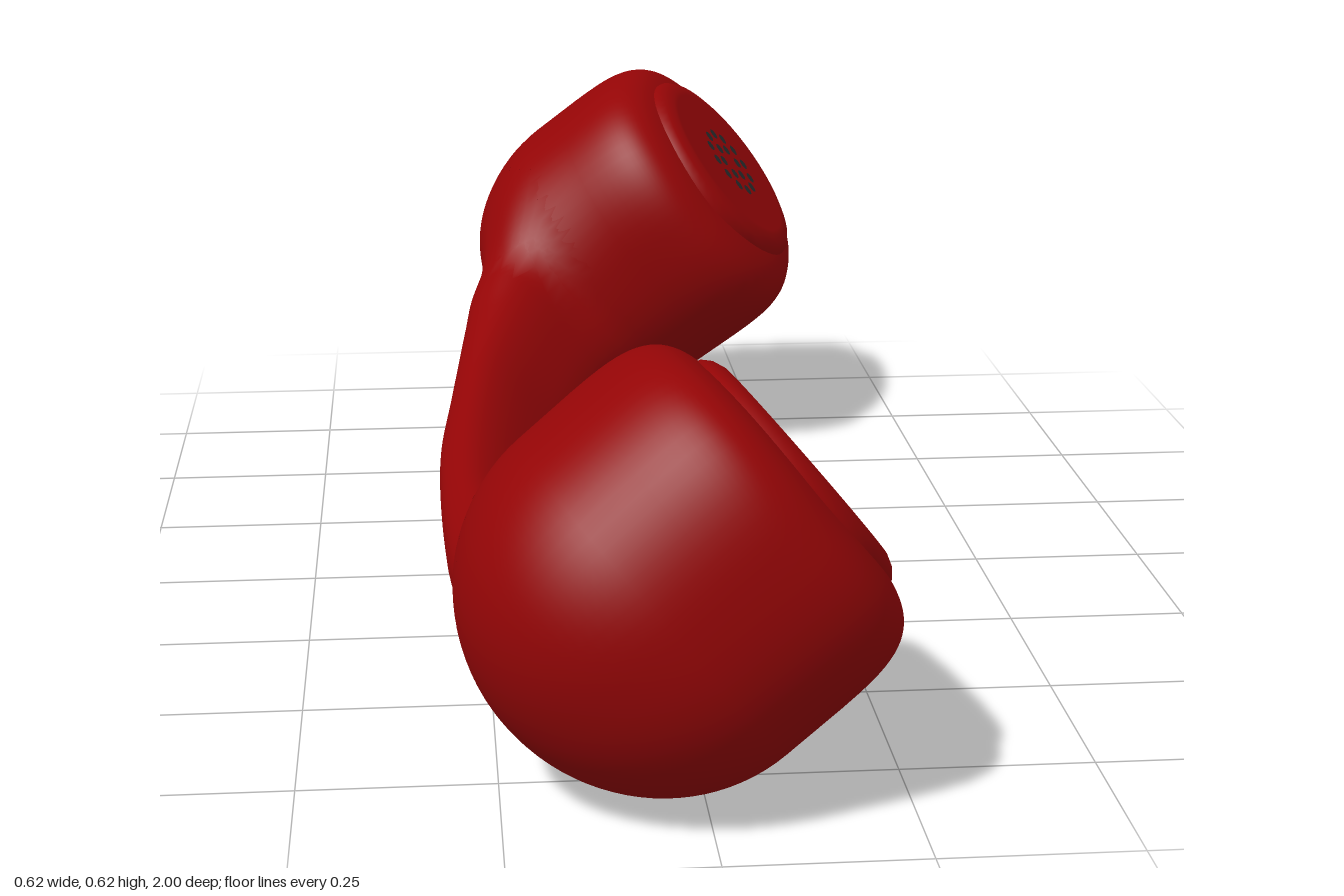
import * as THREE from 'three';
import { mergeVertices } from 'three/addons/utils/BufferGeometryUtils.js';

const red = new THREE.MeshStandardMaterial({ color: 0x940506 });
red.name = 'glossy red';
const dark = new THREE.MeshStandardMaterial({ color: 0x262a2b });
dark.name = 'dark hole grey';

// Cups: position of the cap face, inward tilt, radius and rings of holes [count, ring radius]
const CUPS = [
  { name: 'earpiece', at: [-0.233, 0.349, 0.725], tilt: -0.12, radius: 0.245, rings: [[1, 0], [6, 0.026]] },
  { name: 'mouthpiece', at: [-0.25, 0.451, -0.697], tilt: 0.24, radius: 0.24, rings: [[6, 0.03], [12, 0.058]] },
];
for (const cup of CUPS) {
  cup.matrix = new THREE.Matrix4().makeRotationX(cup.tilt).setPosition(...cup.at);
  cup.inverse = cup.matrix.clone().invert();
}
const CUP_MIDDLE = -0.2485, CUP_HALF = 0.2365;
const cupRoundness = y => (y > 0 ? 5.5 : 2);

// Radius of a slightly squared circle through (x, z), squarer towards the cap
function squaredRadius(x, z, y) {
  const e = 2.3 + 0.2 * THREE.MathUtils.clamp(y / CUP_HALF, -1, 1);
  return (Math.abs(x) ** e + Math.abs(z) ** e) ** (1 / e);
}

// Grip sections: [z, outer side, inner side, half width]
const GRIP = [
  [-0.78, 0.06, 0.2, 0.12], [-0.64, 0, 0.17, 0.145], [-0.54, -0.05, 0.115, 0.14],
  [-0.44, -0.077, 0.06, 0.126], [-0.32, -0.1, 0.013, 0.117], [-0.2, -0.119, -0.012, 0.115], [0, -0.146, -0.036, 0.118],
  [0.2, -0.154, -0.045, 0.118], [0.4, -0.155, -0.018, 0.121], [0.49, -0.15, 0.016, 0.128],
  [0.56, -0.138, 0.06, 0.138], [0.65, -0.1, 0.1, 0.14], [0.76, -0.04, 0.1, 0.12],
];
const GRIP_START = -0.78, GRIP_END = 0.76, GRIP_ROUNDNESS = 2.6;

// Smooth section of the grip at any z
function gripSection(z) {
  let i = 0;
  while (i < GRIP.length - 2 && z > GRIP[i + 1][0]) i++;
  const a = GRIP[i], b = GRIP[i + 1];
  const before = GRIP[Math.max(i - 1, 0)], after = GRIP[Math.min(i + 2, GRIP.length - 1)];
  const span = b[0] - a[0], t = THREE.MathUtils.clamp((z - a[0]) / span, 0, 1);
  const [outer, inner, width] = [1, 2, 3].map(k => {
    const m0 = span * (b[k] - before[k]) / (b[0] - before[0]);
    const m1 = span * (after[k] - a[k]) / (after[0] - a[0]);
    return a[k] + t * (m0 + t * (3 * (b[k] - a[k]) - 2 * m0 - m1 + t * (2 * (a[k] - b[k]) + m0 + m1)));
  });
  return { x: -0.243 + 0.03 * z, y: (outer + inner) / 2, width, half: (inner - outer) / 2 };
}

// Rough distance to a superellipse, and a point on its edge
const superDistance = (x, y, w, h, p) =>
  ((Math.abs(x / w) ** p + Math.abs(y / h) ** p) ** (1 / p) - 1) * Math.min(w, h);
const superPoint = (v, p) => Math.sign(v) * Math.abs(v) ** (2 / p);

const local = new THREE.Vector3();
function cupDistance(cup, point) {
  local.copy(point).applyMatrix4(cup.inverse);
  const y = local.y - CUP_MIDDLE;
  return superDistance(squaredRadius(local.x, local.z, y), y, cup.radius, CUP_HALF, cupRoundness(y));
}
function gripDistance(p) {
  const s = gripSection(p.z);
  return Math.max(superDistance(p.x - s.x, p.y - s.y, s.width, s.half, GRIP_ROUNDNESS),
    p.z - GRIP_END, GRIP_START - p.z);
}

// Distance to cups and grip joined by a soft fillet
const FILLET = 0.065;
function bodyDistance(p) {
  const a = gripDistance(p), b = Math.min(cupDistance(CUPS[0], p), cupDistance(CUPS[1], p));
  const h = Math.max(FILLET - Math.abs(a - b), 0);
  return Math.min(a, b) - h * h / (4 * FILLET);
}

// Push a part's vertices out to the filleted body so cups and grip flow together
function blend(source) {
  source.deleteAttribute('uv');
  source.deleteAttribute('normal');
  const geo = mergeVertices(source, 1e-5);
  geo.computeVertexNormals();
  const pos = geo.attributes.position, nor = geo.attributes.normal;
  const p = new THREE.Vector3(), n = new THREE.Vector3(), q = new THREE.Vector3();
  const at = t => bodyDistance(q.copy(p).addScaledVector(n, t));
  const slope = axis => {
    const e = 0.002;
    const plus = bodyDistance(q.copy(p).setComponent(axis, p.getComponent(axis) + e));
    return plus - bodyDistance(q.copy(p).setComponent(axis, p.getComponent(axis) - e));
  };
  for (let i = 0; i < pos.count; i++) {
    p.fromBufferAttribute(pos, i);
    n.fromBufferAttribute(nor, i);
    let low = 0, high = 0.1;
    if (at(0) < 0 && at(high) > 0) {
      for (let k = 0; k < 16; k++) {
        const mid = (low + high) / 2;
        if (at(mid) < 0) low = mid; else high = mid;
      }
      p.addScaledVector(n, low);
    }
    n.set(slope(0), slope(1), slope(2)).normalize();
    pos.setXYZ(i, p.x, p.y, p.z);
    nor.setXYZ(i, n.x, n.y, n.z);
  }
  return geo;
}

// Cup with a domed bottom, a flatter top and slightly squared sides
function cupGeometry(cup) {
  const profile = [];
  for (let i = 0; i <= 48; i++) {
    const a = (i / 48 - 0.5) * Math.PI, p = cupRoundness(a);
    const r = i % 48 ? superPoint(Math.cos(a), p) * cup.radius : 0;
    profile.push(new THREE.Vector2(r, superPoint(Math.sin(a), p) * CUP_HALF));
  }
  const geo = new THREE.LatheGeometry(profile, 72);
  const pos = geo.attributes.position;
  for (let i = 0; i < pos.count; i++) {
    const x = pos.getX(i), y = pos.getY(i), z = pos.getZ(i);
    const k = Math.hypot(x, z) / (squaredRadius(x, z, y) || 1);
    pos.setXYZ(i, x * k, y + CUP_MIDDLE, z * k);
  }
  return blend(geo.applyMatrix4(cup.matrix));
}

// Curved grip: a tube whose rings follow the sections
function gripGeometry() {
  const geo = new THREE.CylinderGeometry(1, 1, GRIP_END - GRIP_START, 56, 130, true)
    .rotateX(Math.PI / 2).translate(0, 0, (GRIP_END + GRIP_START) / 2);
  const pos = geo.attributes.position;
  for (let i = 0; i < pos.count; i++) {
    const s = gripSection(pos.getZ(i));
    pos.setX(i, s.x + superPoint(pos.getX(i), GRIP_ROUNDNESS) * s.width);
    pos.setY(i, s.y + superPoint(pos.getY(i), GRIP_ROUNDNESS) * s.half);
  }
  return blend(geo);
}

// Gently raised cap with flat sound holes
function createCap(cup) {
  const cap = new THREE.Group();
  cap.name = cup.name + 'Cap';
  cap.applyMatrix4(cup.matrix);
  const profile = [[0.183, -0.035], [0.177, -0.016], [0.166, -0.006], [0.15, 0], [0.14, 0], [0, 0]];
  const plate = new THREE.Mesh(new THREE.LatheGeometry(profile.map(([r, y]) => new THREE.Vector2(r, y)), 56), red);
  plate.name = 'capPlate';
  cap.add(plate);
  const holeGeo = new THREE.CircleGeometry(0.01, 10).rotateX(-Math.PI / 2);
  for (const [count, radius] of cup.rings) {
    for (let i = 0; i < count; i++) {
      const a = (i / count) * Math.PI * 2;
      const hole = new THREE.Mesh(holeGeo, dark);
      hole.name = 'soundHole';
      hole.position.set(Math.cos(a) * radius, 0.002, Math.sin(a) * radius);
      cap.add(hole);
    }
  }
  return cap;
}

export function createModel() {
  const model = new THREE.Group();
  model.name = 'telephoneHandset';

  // Handset lies on its side, cups facing up and towards +x
  const handset = new THREE.Group();
  handset.name = 'handset';
  handset.rotation.z = -0.885;
  model.add(handset);

  const grip = new THREE.Mesh(gripGeometry(), red);
  grip.name = 'grip';
  handset.add(grip);
  for (const cup of CUPS) {
    const body = new THREE.Mesh(cupGeometry(cup), red);
    body.name = cup.name;
    handset.add(body, createCap(cup));
  }

  // Stand on the ground, centred
  const box = new THREE.Box3().setFromObject(model, true);
  const centre = box.getCenter(new THREE.Vector3());
  handset.position.set(-centre.x, -box.min.y, -centre.z);
  return model;
}
